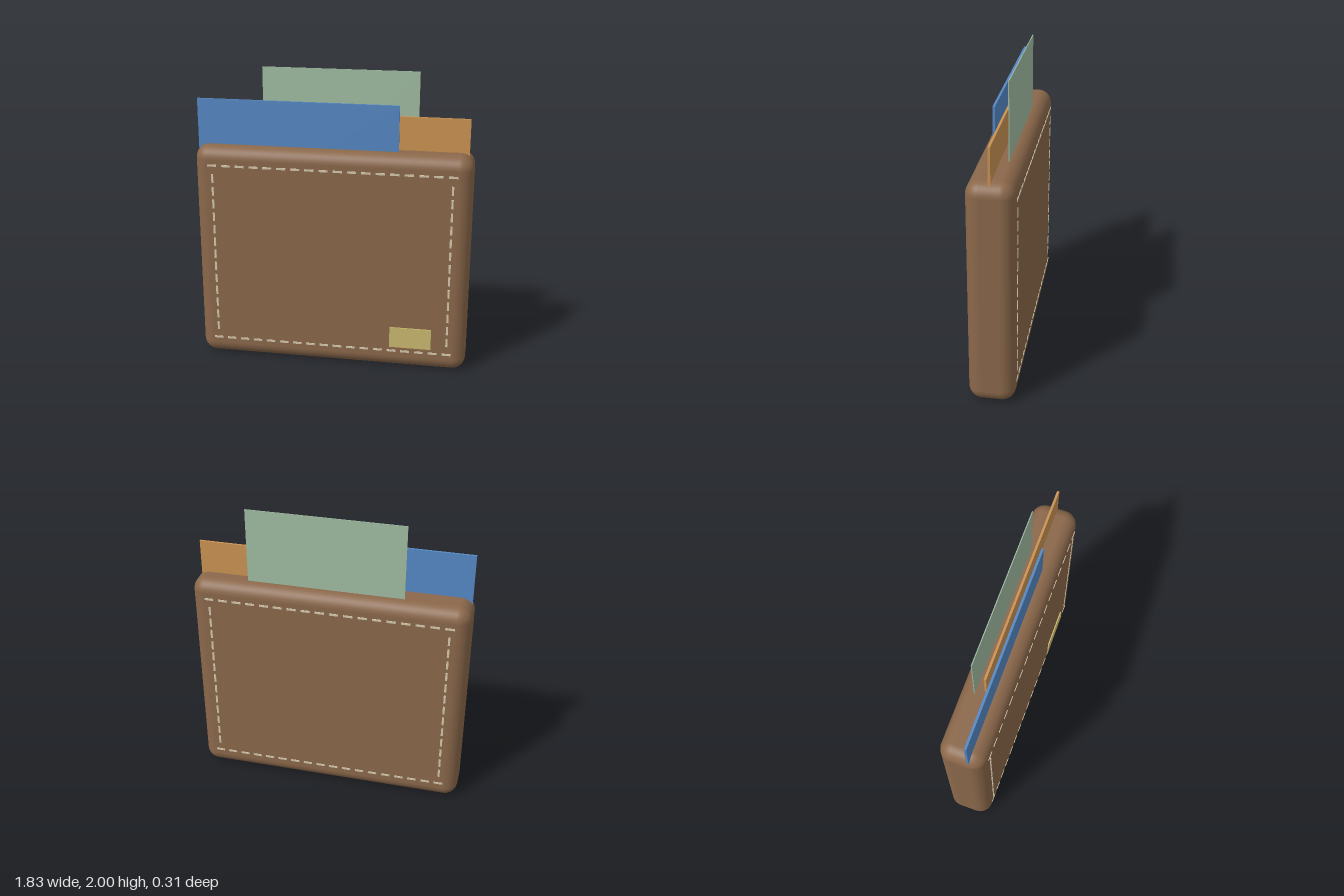
import * as THREE from 'three';
import { RoundedBoxGeometry } from 'three/addons/geometries/RoundedBoxGeometry.js';

function material(name, color) {
  const m = new THREE.MeshStandardMaterial({ color });
  m.name = name;
  return m;
}

export function createModel() {
  const leather = material('brown leather', 0x8a674a);
  const thread = material('cream thread', 0xd6c9ae);
  const brass = material('brass', 0xcab96f);
  const blue = material('blue card', 0x5588c4);
  const orange = material('orange card', 0xca9252);
  const green = material('green paper', 0xa0bca2);

  const wallet = new THREE.Group();
  wallet.name = 'wallet';

  // Box given by its bounds in x and y, and its centre and depth in z
  function plate(name, mat, x0, x1, y0, y1, z, depth, parent = wallet) {
    const mesh = new THREE.Mesh(new THREE.BoxGeometry(x1 - x0, y1 - y0, depth), mat);
    mesh.position.set((x0 + x1) / 2, (y0 + y1) / 2, z);
    mesh.name = name;
    parent.add(mesh);
  }

  // Padded leather body
  const body = new THREE.Mesh(new RoundedBoxGeometry(1.83, 1.5, 0.3, 6, 0.09), leather);
  body.position.y = 0.75;
  body.name = 'body';
  wallet.add(body);

  // Cards and paper slip standing out of the top
  plate('frontCard', blue, -0.9, 0.43, 0.95, 1.8, 0.05, 0.015);
  plate('middleCard', orange, -0.45, 0.88, 0.87, 1.72, 0, 0.015);
  plate('paperSlip', green, -0.485, 0.545, 0.9, 2, -0.06, 0.006);

  // Brass tag near the lower corner
  plate('tag', brass, 0.405, 0.685, 0.16, 0.305, 0.154, 0.009);

  // Dashed stitching around the front and back
  const sx = 0.79, y0 = 0.13, y1 = 1.375, half = 0.03, w = 0.007;
  for (const side of [1, -1]) {
    const stitches = new THREE.Group();
    stitches.name = side > 0 ? 'frontStitching' : 'backStitching';
    const z = side * 0.15;
    for (let i = 0; i < 18; i++) {
      const x = -sx + (2 * sx * i) / 17;
      for (const y of [y0, y1]) {
        plate('stitch', thread, x - half, x + half, y - w, y + w, z, 0.008, stitches);
      }
    }
    for (let i = 1; i < 14; i++) {
      const y = y0 + ((y1 - y0) * i) / 14;
      for (const x of [-sx, sx]) {
        plate('stitch', thread, x - w, x + w, y - half, y + half, z, 0.008, stitches);
      }
    }
    wallet.add(stitches);
  }
  return wallet;
}
